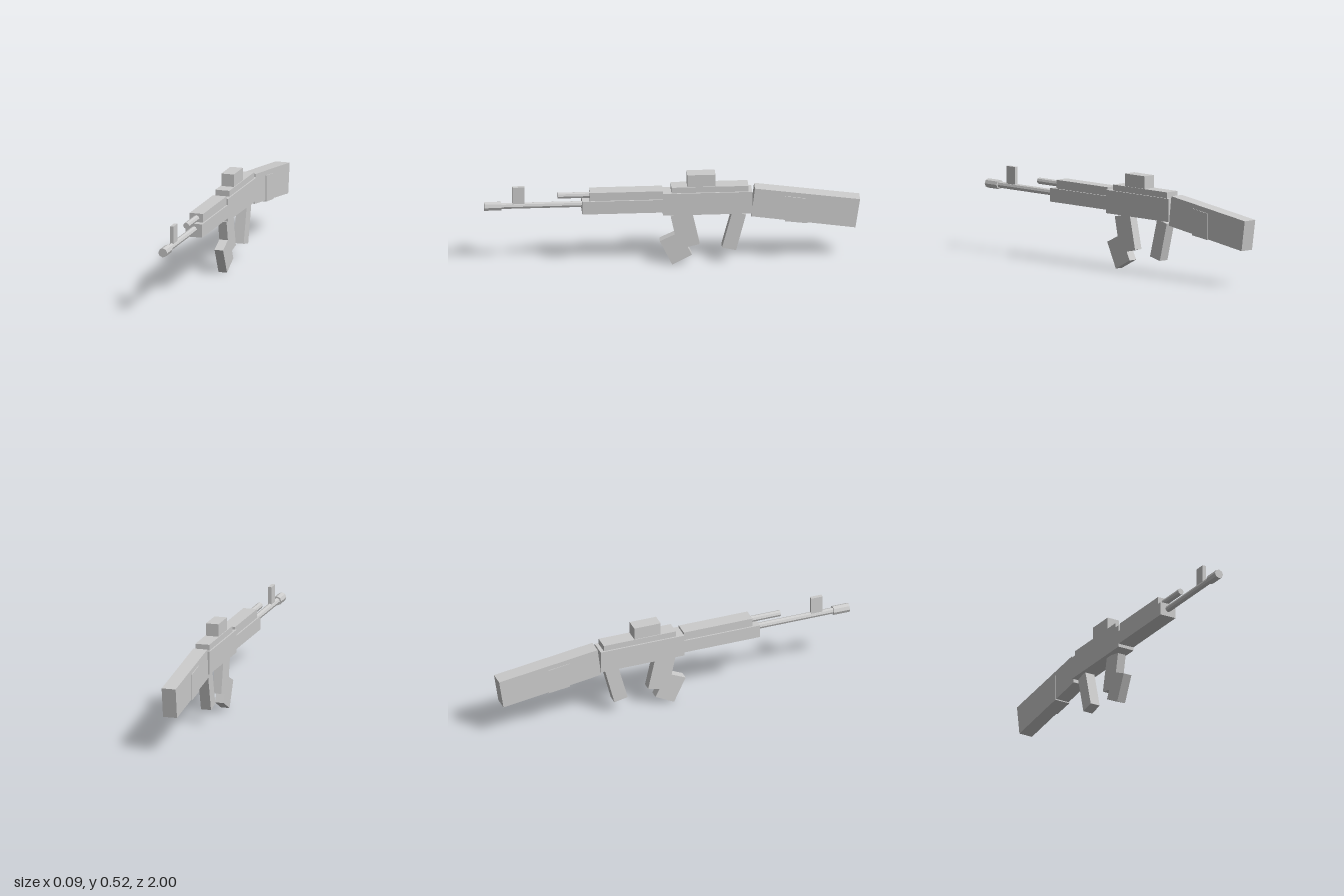
import * as THREE from 'three';

export function createModel() {
  const model = new THREE.Group();
  const grey = new THREE.MeshStandardMaterial({ color: 0xcccccc, flatShading: true });
  grey.name = 'light grey';

  const add = (name, geometry) => {
    const mesh = new THREE.Mesh(geometry, grey);
    mesh.name = name;
    model.add(mesh);
    return mesh;
  };

  // Upright block given by half width and its y and z ranges
  const block = (name, half, y0, y1, z0, z1) =>
    add(name, new THREE.BoxGeometry(half * 2, y1 - y0, z1 - z0))
      .position.set(0, (y0 + y1) / 2, (z0 + z1) / 2);

  // Side outline of [z, y] points, extruded evenly across x
  const slab = (name, half, points) => {
    const shape = new THREE.Shape(points.map(([z, y]) => new THREE.Vector2(z, y)));
    const geometry = new THREE.ExtrudeGeometry(shape, { depth: half * 2, bevelEnabled: false });
    geometry.translate(0, 0, -half).rotateY(-Math.PI / 2);
    add(name, geometry);
  };

  // Eight-sided rod along z
  const rod = (name, radius, y, z0, z1) => {
    const geometry = new THREE.CylinderGeometry(radius, radius, z1 - z0, 8).rotateX(Math.PI / 2);
    add(name, geometry).position.set(0, y, (z0 + z1) / 2);
  };

  // Body
  block('receiver', 0.047, 0.295, 0.42, -0.425, 0.05);
  block('topCover', 0.039, 0.42, 0.452, -0.405, 0.005);
  block('rearSight', 0.035, 0.452, 0.52, -0.23, -0.08);
  block('lowerHandguard', 0.046, 0.313, 0.386, 0.05, 0.48);
  block('upperHandguard', 0.038, 0.386, 0.433, 0.05, 0.44);

  // Barrel group
  rod('barrel', 0.017, 0.355, 0.48, 0.92);
  rod('muzzle', 0.025, 0.355, 0.91, 1);
  rod('gasTube', 0.017, 0.407, 0.44, 0.61);
  block('frontSight', 0.01, 0.36, 0.463, 0.785, 0.85);

  // Stock with a slightly raised band
  slab('stock', 0.039, [[-0.42, 0.275], [-0.44, 0.435], [-1, 0.358], [-0.975, 0.195]]);
  slab('stockBand', 0.043, [[-0.6, 0.243], [-0.6, 0.387], [-0.72, 0.37], [-0.72, 0.228]]);

  // Grip and bent magazine
  slab('grip', 0.028, [[-0.265, 0.093], [-0.32, 0.3], [-0.393, 0.281], [-0.34, 0.076]]);
  slab('magazine', 0.024, [
    [0.008, 0.28], [-0.105, 0.305], [-0.147, 0.115], [-0.083, 0.1],
    [-0.105, 0.054], [0, 0], [0.066, 0.138], [-0.014, 0.175],
  ]);

  return model;
}
